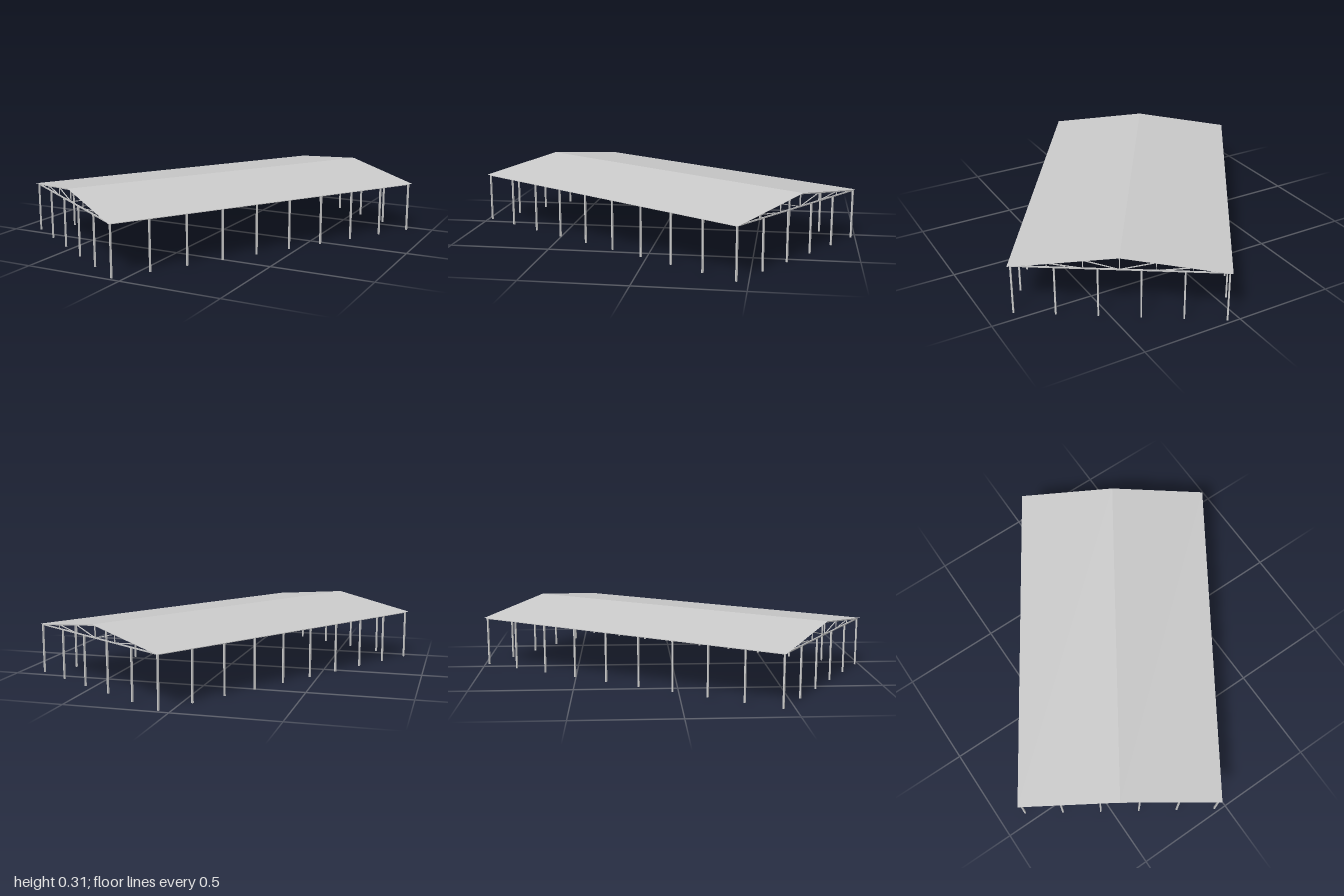
import * as THREE from 'three';

const EAVE = 0.252, RIDGE = 0.315;   // roof heights
const ROOF_X = 0.502, ROOF_Z = 0.864; // roof half width and half length
const POST_X = 0.488, POST_Z = 0.85;  // post grid half width and half length
const BAYS_X = 5, BAYS_Z = 9;

export function createModel() {
  const model = new THREE.Group();
  model.name = 'openPavilion';
  const material = new THREE.MeshStandardMaterial({ color: 0xcccccc, flatShading: true });
  const sheetMaterial = material.clone();
  sheetMaterial.side = THREE.DoubleSide;

  // Square bar between two points
  function bar(parent, name, a, b, size) {
    const from = new THREE.Vector3(...a), to = new THREE.Vector3(...b);
    const mesh = new THREE.Mesh(new THREE.BoxGeometry(size, size, from.distanceTo(to)), material);
    mesh.position.copy(from).lerp(to, 0.5);
    mesh.lookAt(to);
    mesh.name = name;
    parent.add(mesh);
  }

  // Gabled roof: one thin sheet folded along the ridge
  const sheet = new THREE.PlaneGeometry(2 * ROOF_X, 2 * ROOF_Z, 2, 1).rotateX(-Math.PI / 2);
  const p = sheet.attributes.position;
  for (let i = 0; i < p.count; i++) {
    p.setY(i, RIDGE - (RIDGE - EAVE) * Math.abs(p.getX(i)) / ROOF_X);
  }
  const roof = new THREE.Mesh(sheet.toNonIndexed(), sheetMaterial);
  roof.geometry.computeVertexNormals();
  roof.name = 'roof';
  model.add(roof);

  // Posts around the perimeter
  const posts = new THREE.Group();
  posts.name = 'posts';
  const postGeometry = new THREE.BoxGeometry(0.008, 0.25, 0.008).translate(0, 0.125, 0);
  for (let i = 0; i <= BAYS_X; i++) {
    for (let j = 0; j <= BAYS_Z; j++) {
      if (i > 0 && i < BAYS_X && j > 0 && j < BAYS_Z) continue;
      const post = new THREE.Mesh(postGeometry, material);
      post.position.set(POST_X * (2 * i / BAYS_X - 1), 0, POST_Z * (2 * j / BAYS_Z - 1));
      post.name = 'post';
      posts.add(post);
    }
  }
  model.add(posts);

  // Roof trusses, one over each pair of side posts
  const low = 0.249;
  const high = x => RIDGE - 0.005 - (RIDGE - EAVE) * Math.abs(x) / ROOF_X;
  for (let j = 0; j <= BAYS_Z; j++) {
    const truss = new THREE.Group();
    truss.name = 'truss';
    truss.position.z = POST_Z * (2 * j / BAYS_Z - 1);
    bar(truss, 'bottomChord', [-POST_X, low, 0], [POST_X, low, 0], 0.006);
    bar(truss, 'kingPost', [0, low, 0], [0, high(0), 0], 0.005);
    for (const s of [-1, 1]) {
      bar(truss, 'topChord', [s * POST_X, high(POST_X), 0], [0, high(0), 0], 0.006);
      for (let k = 1; k <= 2; k++) {
        const x = s * POST_X * k / 3, inner = s * POST_X * (k - 1) / 3;
        bar(truss, 'webPost', [x, low, 0], [x, high(x), 0], 0.004);
        bar(truss, 'webBrace', [inner, low, 0], [x, high(x), 0], 0.004);
      }
    }
    model.add(truss);
  }

  // Eave beams along both long sides
  for (const s of [-1, 1]) {
    bar(model, 'eaveBeam', [s * POST_X, low, -POST_Z], [s * POST_X, low, POST_Z], 0.006);
  }

  // The building stands at an angle to the axes
  model.rotation.y = -0.577;
  const group = new THREE.Group();
  group.name = 'pavilion';
  group.add(model);
  return group;
}
